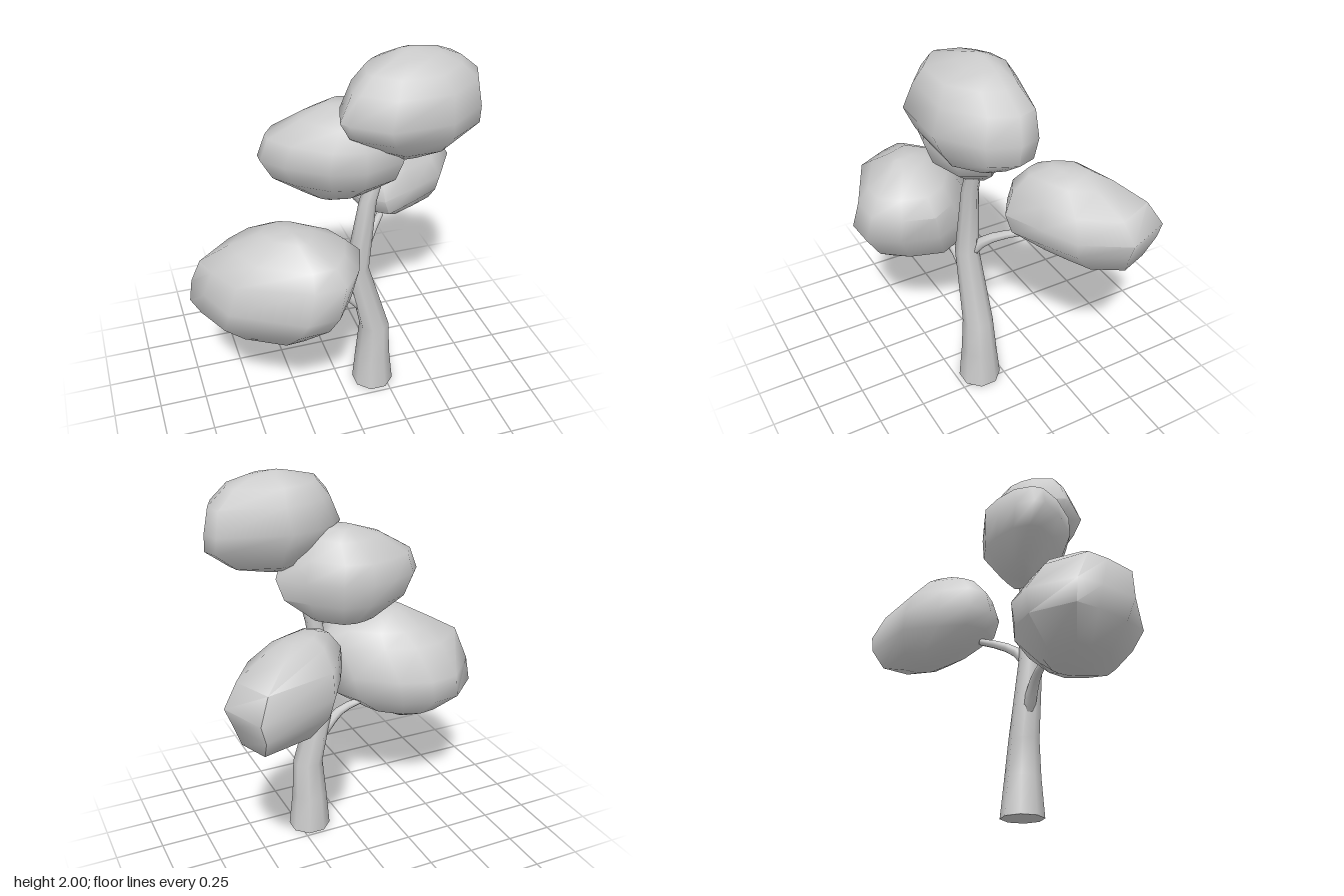
import * as THREE from 'three';
import { toCreasedNormals } from 'three/addons/utils/BufferGeometryUtils.js';

const material = new THREE.MeshStandardMaterial({ color: 0xcccccc });

// Skin a stack of equal-length rings (ordered from x towards z) and close both ends.
function loft(name, rings, crease) {
  const n = rings[0].length;
  const points = rings.flat();
  const index = [];
  for (let r = 0; r < rings.length - 1; r++) {
    for (let i = 0; i < n; i++) {
      const a = r * n + i, b = r * n + (i + 1) % n;
      index.push(a, a + n, b, b, a + n, b + n);
    }
  }
  const centre = ring => ring.reduce((s, p) => s.add(p), new THREE.Vector3()).divideScalar(n);
  const last = (rings.length - 1) * n;
  const bottom = points.push(centre(rings[0])) - 1;
  const top = points.push(centre(rings[rings.length - 1])) - 1;
  for (let i = 0; i < n; i++) {
    const j = (i + 1) % n;
    index.push(bottom, i, j, top, last + j, last + i);
  }
  const geometry = new THREE.BufferGeometry().setFromPoints(points);
  geometry.setIndex(index);
  const mesh = new THREE.Mesh(toCreasedNormals(geometry, crease), material);
  mesh.name = name;
  return mesh;
}

function circle(sides, radius, centre, direction) {
  const turn = new THREE.Quaternion().setFromUnitVectors(new THREE.Vector3(0, 1, 0), direction);
  return Array.from({ length: sides }, (_, i) => {
    const a = (i + 0.5) / sides * Math.PI * 2;
    return new THREE.Vector3(Math.cos(a) * radius, 0, Math.sin(a) * radius)
      .applyQuaternion(turn).add(centre);
  });
}

// Tapered branch along a smooth path.
function branch(name, path, r0, r1) {
  const curve = new THREE.CatmullRomCurve3(path.map(p => new THREE.Vector3(...p)));
  const rings = [];
  for (let i = 0; i <= 5; i++) {
    const t = i / 5;
    rings.push(circle(8, r0 + (r1 - r0) * t, curve.getPoint(t), curve.getTangent(t)));
  }
  return loft(name, rings, 1.1);
}

// Foliage: one plan outline [x, z], fitted into the box of each level [y, x0, x1, z0, z1].
function foliage(name, outline, levels) {
  const box = new THREE.Box2().setFromPoints(outline.map(p => new THREE.Vector2(...p)));
  const size = box.getSize(new THREE.Vector2());
  const rings = levels.map(([y, x0, x1, z0, z1]) => outline.map(([x, z]) => new THREE.Vector3(
    x0 + (x1 - x0) * (x - box.min.x) / size.x, y,
    z0 + (z1 - z0) * (z - box.min.y) / size.y)));
  return loft(name, rings, 1.1);
}

export function createModel() {
  const tree = new THREE.Group();
  tree.name = 'tree';

  // Bent trunk: height, x, z, radius
  const up = new THREE.Vector3(0, 1, 0);
  const trunk = [
    [0, 0.187, 0.12, 0.113], [0.2, 0.183, 0.122, 0.094], [0.4, 0.185, 0.13, 0.08],
    [0.8, 0.08, 0.135, 0.062], [1.2, 0.13, 0.14, 0.044], [1.3, 0.16, 0.14, 0.04],
  ].map(([y, x, z, r]) => circle(8, r, new THREE.Vector3(x, y, z), up));
  tree.add(loft('trunk', trunk, 1.1));

  // Side branches
  tree.add(branch('leftBranch',
    [[0.09, 0.77, 0.13], [0.13, 0.85, 0.09], [0.19, 0.91, 0.02], [0.28, 0.96, -0.08]], 0.034, 0.018));
  tree.add(branch('rightBranch',
    [[0.12, 0.53, 0.13], [0.05, 0.61, 0.13], [-0.02, 0.67, 0.13], [-0.13, 0.7, 0.13]], 0.036, 0.018));

  // Foliage clumps
  tree.add(foliage('rightFoliage',
    [[-0.79, 0.07], [-0.6, -0.12], [-0.43, -0.14], [-0.25, -0.08], [-0.04, 0.08], [0.04, 0.25],
      [-0.02, 0.45], [-0.13, 0.6], [-0.3, 0.61], [-0.66, 0.41], [-0.75, 0.21]],
    [[0.575, -0.42, -0.32, 0.08, 0.28], [0.61, -0.63, -0.2, 0, 0.41], [0.73, -0.785, -0.03, -0.12, 0.52],
      [0.86, -0.77, 0, -0.13, 0.6], [1.02, -0.73, 0.04, -0.02, 0.575], [1.1, -0.59, -0.04, 0.04, 0.52],
      [1.18, -0.44, -0.2, 0.16, 0.39], [1.2, -0.34, -0.28, 0.25, 0.35]]));
  tree.add(foliage('middleFoliage',
    [[-0.39, 0], [-0.33, -0.08], [-0.2, -0.14], [-0.07, -0.17], [0.08, -0.14], [0.22, 0],
      [0.33, 0.13], [0.25, 0.28], [0.05, 0.34], [-0.12, 0.3], [-0.3, 0.17], [-0.39, 0.06]],
    [[1.21, -0.1, 0.02, 0.03, 0.1], [1.24, -0.16, 0.15, -0.05, 0.16], [1.36, -0.33, 0.3, -0.15, 0.3],
      [1.47, -0.39, 0.335, -0.16, 0.34], [1.58, -0.35, 0.3, -0.155, 0.34], [1.67, -0.2, 0.2, -0.06, 0.28],
      [1.72, -0.06, 0.1, 0, 0.16]]));
  tree.add(foliage('topFoliage',
    [[-0.07, 0.3], [-0.02, 0.14], [0.05, 0.07], [0.15, 0.01], [0.3, -0.02], [0.65, 0.08],
      [0.68, 0.18], [0.62, 0.32], [0.42, 0.46], [0.12, 0.46], [-0.04, 0.34]],
    [[1.495, 0.22, 0.35, 0.15, 0.3], [1.55, 0.12, 0.55, 0.06, 0.37], [1.64, -0.02, 0.67, 0.02, 0.43],
      [1.73, -0.07, 0.67, -0.02, 0.465], [1.86, -0.01, 0.645, 0, 0.43], [1.94, 0.06, 0.55, 0.05, 0.39],
      [1.98, 0.2, 0.45, 0.11, 0.28], [2, 0.27, 0.34, 0.16, 0.2]]));
  tree.add(foliage('leftFoliage',
    [[0.12, -0.19], [0.2, -0.34], [0.3, -0.5], [0.7, -0.61], [0.79, -0.38], [0.65, -0.16],
      [0.46, -0.07], [0.27, 0.01], [0.15, -0.07]],
    [[0.857, 0.4, 0.57, -0.43, -0.24], [0.9, 0.3, 0.72, -0.54, -0.14], [1, 0.17, 0.755, -0.605, 0],
      [1.09, 0.12, 0.79, -0.61, 0.02], [1.2, 0.13, 0.72, -0.55, -0.02], [1.29, 0.2, 0.56, -0.43, -0.1],
      [1.33, 0.28, 0.47, -0.35, -0.2]]));

  return tree;
}
